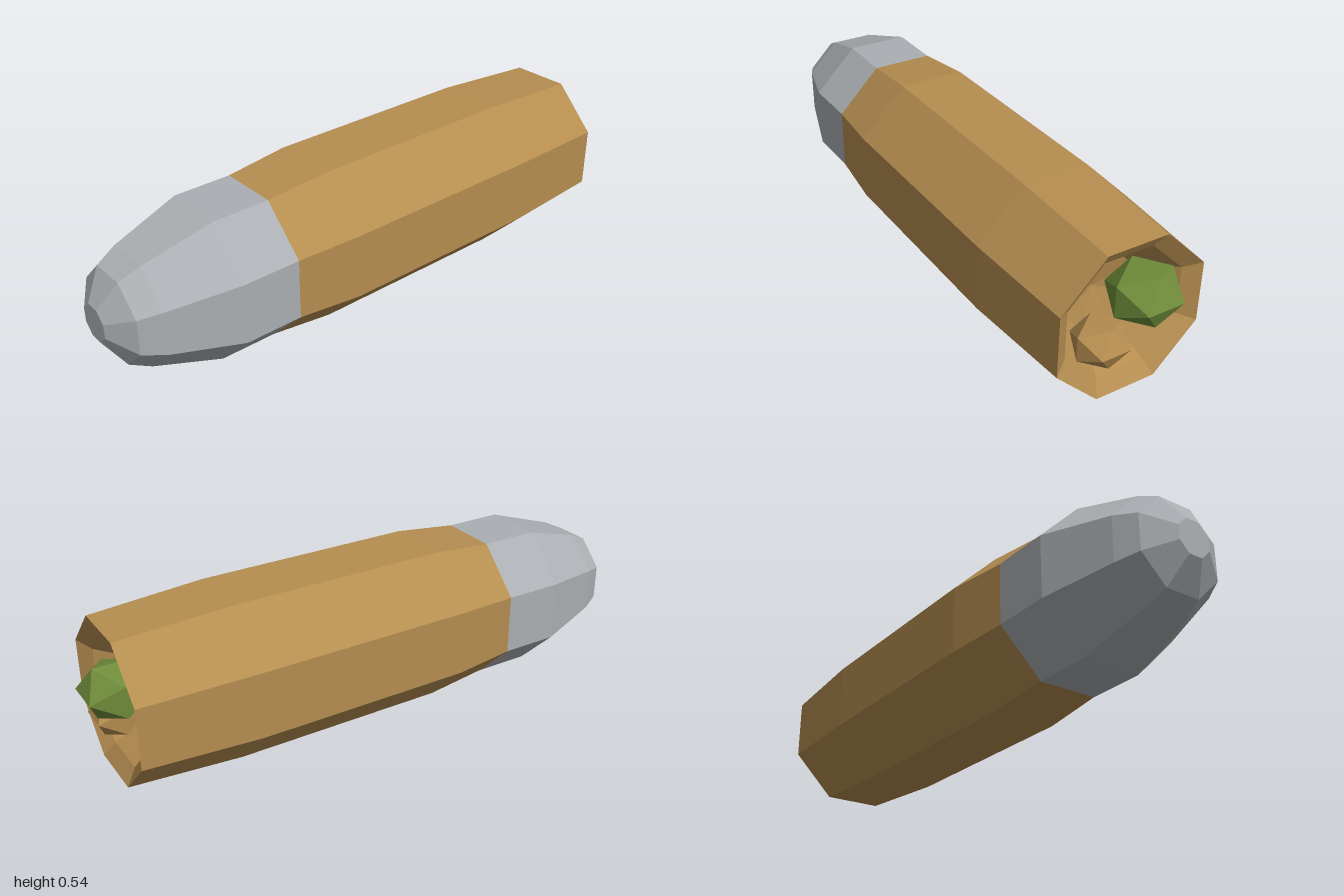
import * as THREE from 'three';

const AXIS_Y = 0.272; // height of the long axis
const COS = Math.cos(Math.PI / 8);

const flat = (name, color) => {
  const m = new THREE.MeshStandardMaterial({ color, flatShading: true });
  m.name = name;
  return m;
};

// Eight-sided solid of revolution along x; profile is [x, distance from axis to flat side]
function octagonal(name, profile, material) {
  const points = profile.map(([x, a]) => new THREE.Vector2(a / COS, x));
  const geometry = new THREE.LatheGeometry(points, 8, Math.PI / 8);
  geometry.rotateZ(-Math.PI / 2);
  const mesh = new THREE.Mesh(geometry, material);
  mesh.name = name;
  mesh.position.y = AXIS_Y;
  return mesh;
}

// Slightly flattened faceted lump
function lump(name, radius, x, y, z, material) {
  const mesh = new THREE.Mesh(new THREE.IcosahedronGeometry(radius, 0), material);
  mesh.name = name;
  mesh.scale.y = 0.85;
  mesh.position.set(x, y, z);
  return mesh;
}

export function createModel() {
  const tan = flat('tan', 0xb58d50);
  const grey = flat('grey', 0xabaeb2);
  const green = flat('green', 0x6f8c3a);

  const model = new THREE.Group();
  model.name = 'filledRoll';

  // Wrapped end with a blunt, closed tip
  model.add(octagonal('wrappedEnd', [
    [-1, 0], [-1, 0.057], [-0.94, 0.146], [-0.87, 0.18], [-0.64, 0.25], [-0.44, 0.25],
  ], grey));

  // Roll body, turning inward at the rim into a shallow hollow
  model.add(octagonal('rollBody', [
    [-0.44, 0.25], [-0.22, 0.272], [0.53, 0.272], [0.915, 0.25],
    [0.88, 0.2], [0.76, 0.122], [0.73, 0],
  ], tan));

  // Filling in the open end
  model.add(lump('greenFilling', 0.1175, 0.9, 0.34, -0.047, green));
  model.add(lump('tanFilling', 0.0935, 0.865, 0.188, 0.068, tan));

  return model;
}
